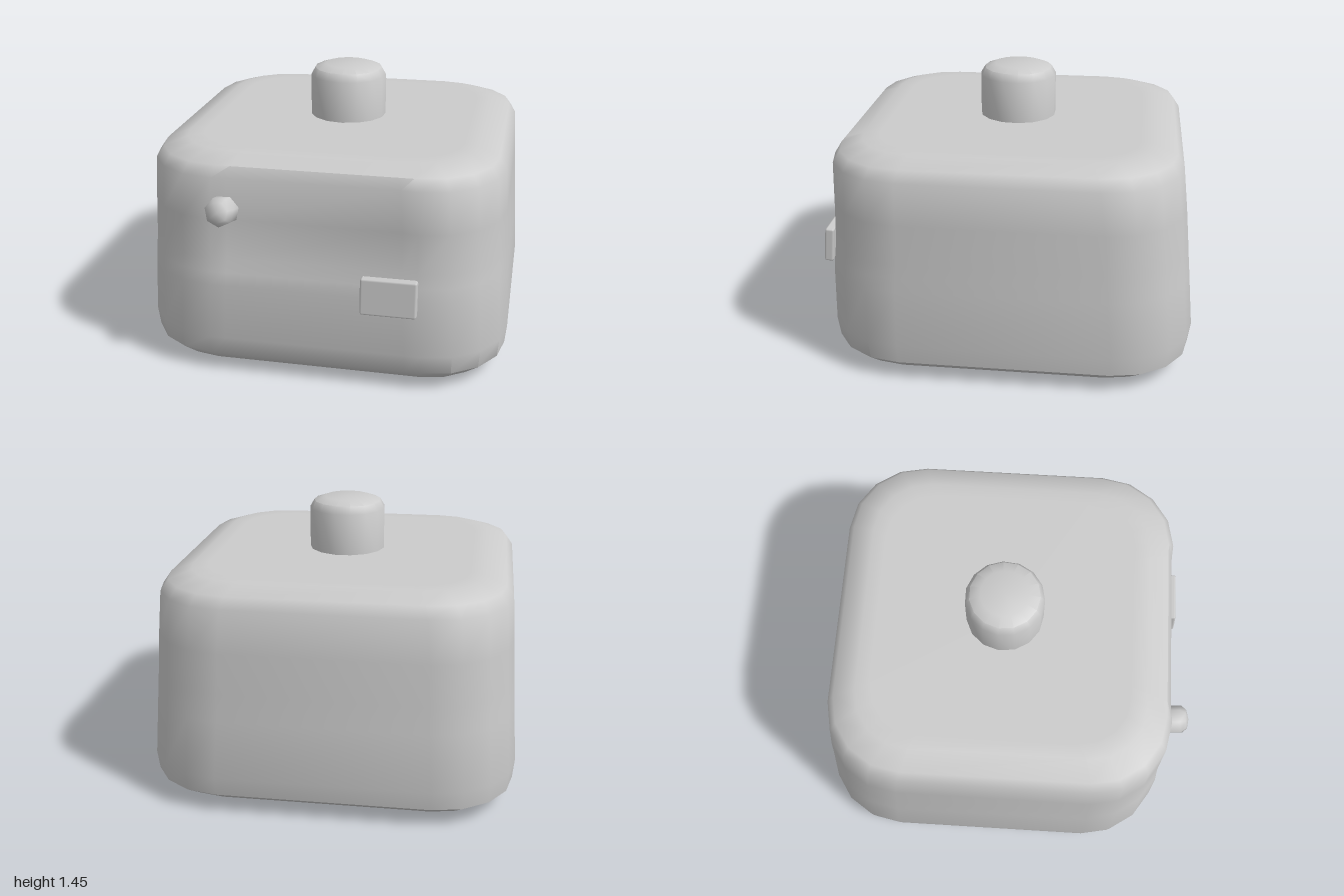
import * as THREE from 'three';
import { toCreasedNormals } from 'three/addons/utils/BufferGeometryUtils.js';
import { RoundedBoxGeometry } from 'three/addons/geometries/RoundedBoxGeometry.js';

const material = new THREE.MeshStandardMaterial({ color: 0xcccccc });

function addPart(group, name, geometry) {
  const mesh = new THREE.Mesh(geometry, material);
  mesh.name = name;
  group.add(mesh);
  return mesh;
}

// Rounded rectangle in the ground plane, four steps per corner,
// with two extra points that press the middle of the front inward
function section([y, halfX, front, back, r, recess = 0]) {
  const points = [];
  const corners = [[1, front - r], [-1, front - r], [-1, back + r], [1, back + r]];
  corners.forEach(([side, z], q) => {
    for (let k = 0; k <= 4; k++) {
      const a = (q + k / 4) * Math.PI / 2;
      points.push([side * (halfX - r) + r * Math.cos(a), y, z + r * Math.sin(a)]);
    }
    if (q === 0) {
      const x = (halfX - r) * 0.85;
      points.push([x, y, front - recess], [-x, y, front - recess]);
    }
  });
  return points;
}

// Skin joining successive sections
function loft(sections, crease) {
  const rings = sections.map(section);
  const n = rings[0].length;
  const index = [];
  for (let i = 0; i < rings.length - 1; i++) {
    for (let j = 0; j < n; j++) {
      const a = i * n + j, b = i * n + (j + 1) % n;
      index.push(a, a + n, b, b, a + n, b + n);
    }
  }
  const geometry = new THREE.BufferGeometry();
  geometry.setAttribute('position', new THREE.Float32BufferAttribute(rings.flat(2), 3));
  geometry.setIndex(index);
  return toCreasedNormals(geometry, crease);
}

function turned(profile, sides, crease) {
  const points = profile.map(([r, y]) => new THREE.Vector2(r, y));
  return toCreasedNormals(new THREE.LatheGeometry(points, sides), crease);
}

export function createModel() {
  const group = new THREE.Group();

  // Tapered housing: height, half width, front z, back z, corner radius, front recess
  addPart(group, 'housing', loft([
    // shallow square recess underneath
    [0.03, 0, -0.035, -0.035, 0],
    [0.018, 0.555, 0.52, -0.59, 0.01],
    [0, 0.56, 0.525, -0.595, 0.01],
    // underside and lower bevel
    [0, 0.57, 0.535, -0.605, 0.02],
    [0.03, 0.855, 0.81, -0.88, 0.32],
    [0.1, 0.945, 0.89, -0.985, 0.4],
    [0.2, 0.955, 0.905, -1.0, 0.41],
    // walls, with the upper front pressed in
    [0.5, 0.938, 0.905, -0.973, 0.41],
    [0.57, 0.934, 0.898, -0.966, 0.41],
    [0.64, 0.93, 0.89, -0.96, 0.41, 0.018],
    [0.85, 0.918, 0.884, -0.94, 0.4, 0.018],
    [1.07, 0.905, 0.883, -0.915, 0.4, 0.008],
    // upper bevel and flat top
    [1.125, 0.868, 0.85, -0.88, 0.38],
    [1.165, 0.755, 0.74, -0.765, 0.3],
    [1.165, 0.68, 0.66, -0.69, 0.26],
    [1.165, 0, -0.01, -0.01, 0],
  ], 0.77));

  // Round post on top
  const post = addPart(group, 'topPost', turned(
    [[0.205, 1.1], [0.205, 1.385], [0.182, 1.425], [0.125, 1.445], [0, 1.445]], 15, 0.72));
  post.position.set(0.005, 0, -0.018);

  // Small round button, tilted upward
  const button = addPart(group, 'roundButton', turned(
    [[0.075, -0.08], [0.075, 0.05], [0.052, 0.077], [0, 0.088]], 7, 1.2));
  button.position.set(-0.445, 0.91, 0.905);
  button.rotation.x = Math.PI / 2 - 0.25;

  // Flat rectangular plate standing off the front
  const plate = addPart(group, 'frontPlate', new RoundedBoxGeometry(0.28, 0.19, 0.05, 1, 0.012));
  plate.position.set(0.39, 0.54, 0.948);
  plate.rotation.x = -0.08;

  return group;
}
